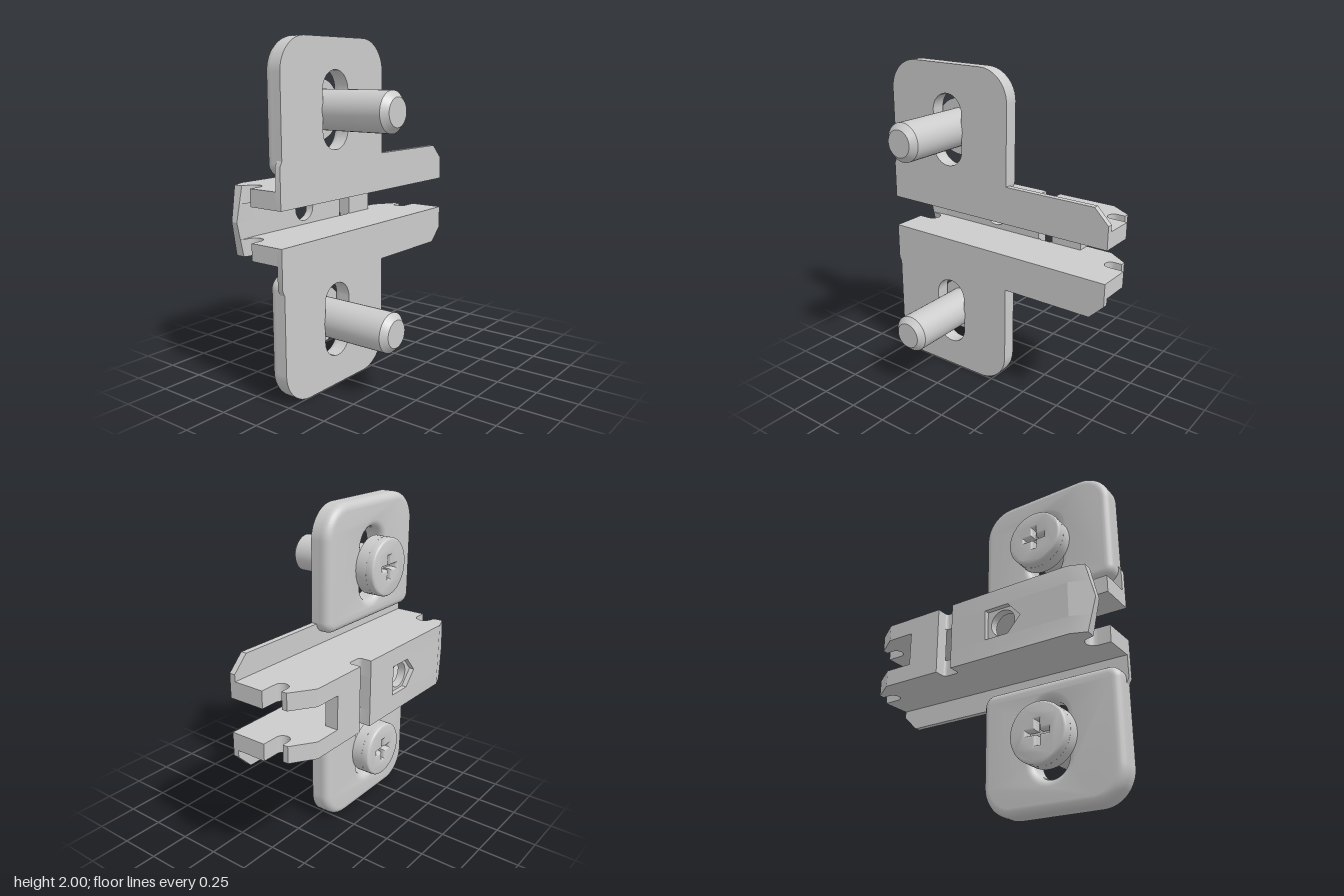
import * as THREE from 'three';
import { toCreasedNormals } from 'three/addons/utils/BufferGeometryUtils.js';

const MID = 1; // height of the mirror plane
const material = new THREE.MeshStandardMaterial({ color: 0xcccccc });

const polygon = (points) => new THREE.Shape(points.map(([a, b]) => new THREE.Vector2(a, b)));

// Extrude a (z, y) shape across x0..x1, optionally with bevelled rims
function extrudeX(shape, x0, x1, bevel = 0) {
  const g = new THREE.ExtrudeGeometry(shape, {
    depth: x1 - x0 - 2 * bevel, curveSegments: 16,
    bevelEnabled: bevel > 0, bevelThickness: bevel, bevelSize: bevel, bevelOffset: -bevel, bevelSegments: 5,
  });
  return g.rotateY(-Math.PI / 2).translate(x1 - bevel, 0, 0);
}

// Extrude an (x, z) shape across y0..y1
function extrudeY(shape, y0, y1) {
  const g = new THREE.ExtrudeGeometry(shape, { depth: y1 - y0, curveSegments: 14, bevelEnabled: false });
  return g.rotateX(Math.PI / 2).translate(0, y1, 0);
}

// Flip about the mid height, restoring the winding
function mirrored(geometry) {
  const g = geometry.clone().translate(0, -MID, 0).scale(1, -1, 1).translate(0, MID, 0);
  for (const attribute of Object.values(g.attributes)) {
    const a = attribute.array, n = attribute.itemSize;
    for (let i = 0; i < a.length; i += 3 * n) {
      for (let k = 0; k < n; k++) [a[i + k], a[i + 2 * n + k]] = [a[i + 2 * n + k], a[i + k]];
    }
  }
  return g;
}

// Front end of the channel: pointed at mid height, outer face sloping inward
function pointNose(geometry) {
  const p = geometry.attributes.position;
  for (let i = 0; i < p.count; i++) {
    if (p.getZ(i) < 0.73 || p.getX(i) > -0.32) continue;
    const z = 0.78 - 0.225 * Math.abs(p.getY(i) - MID);
    p.setZ(i, z);
    if (p.getX(i) < -0.36) p.setX(i, -0.425 + (z - 0.645) * 0.37);
  }
  return geometry;
}

function slotPath(z, y, r, halfLength) {
  const path = new THREE.Path();
  path.absarc(z, y + halfLength - r, r, 0, Math.PI);
  path.absarc(z, y - halfLength + r, r, Math.PI, 2 * Math.PI);
  path.closePath();
  return path;
}

// Screw plate outline in (z, y), large radii at the far end
function plateShape() {
  const s = new THREE.Shape(), z0 = -0.105, z1 = 0.765, y0 = 1.27, y1 = 2, r = 0.19, q = 0.07;
  s.moveTo(z0 + q, y0);
  s.lineTo(z1 - q, y0);
  s.absarc(z1 - q, y0 + q, q, -Math.PI / 2, 0);
  s.absarc(z1 - r, y1 - r, r, 0, Math.PI / 2);
  s.absarc(z0 + r, y1 - r, r, Math.PI / 2, Math.PI);
  s.absarc(z0 + q, y0 + q, q, Math.PI, 1.5 * Math.PI);
  s.holes.push(slotPath(0.33, 1.605, 0.108, 0.22));
  return s;
}

// Channel side outline in (x, z), with round catches at both ends
function webShape() {
  const s = new THREE.Shape();
  s.moveTo(0, -0.78);
  s.lineTo(0, 0.78);
  s.lineTo(-0.225, 0.78);
  s.lineTo(-0.225, 0.71);
  s.absarc(-0.275, 0.71, 0.05, 0, -Math.PI, true);
  s.lineTo(-0.335, 0.745);
  s.lineTo(-0.39, 0.745);
  s.lineTo(-0.425, 0.645);
  s.lineTo(-0.425, -0.115);
  s.lineTo(-0.365, -0.115);
  s.absarc(-0.365, -0.135, 0.02, Math.PI / 2, 0, true);
  s.absarc(-0.365, -0.195, 0.02, 0, -Math.PI / 2, true);
  s.lineTo(-0.425, -0.215);
  s.lineTo(-0.425, -0.59);
  s.lineTo(-0.335, -0.725);
  s.lineTo(-0.302, -0.725);
  s.lineTo(-0.302, -0.68);
  s.absarc(-0.261, -0.68, 0.041, Math.PI, 0, true);
  s.lineTo(-0.22, -0.78);
  return s;
}

// Rectangular wall panel with one opening
function wallPanel(opening) {
  const s = polygon([[-0.115, 0.9], [0.645, 0.9], [0.645, 1.1], [-0.115, 1.1]]);
  s.holes.push(opening);
  return s;
}

export function createModel() {
  const model = new THREE.Group();
  model.name = 'mountingPlate';

  const add = (name, geometry, parent = model) => {
    const flat = geometry.index ? geometry.toNonIndexed() : geometry;
    const mesh = new THREE.Mesh(toCreasedNormals(flat, 0.5), material);
    mesh.name = name;
    parent.add(mesh);
  };

  // Parts of the upper half
  const upper = new THREE.Group();
  upper.name = 'upperHalf';
  model.add(upper);

  // Screw plate: square rim against the mounting face, rounded rim outside
  add('plateBase', extrudeX(plateShape(), -0.07, 0), upper);
  add('plateRoundedFace', extrudeX(plateShape(), -0.12, -0.01, 0.045), upper);

  // Thin flange with a clipped back corner
  add('flange', extrudeX(polygon([
    [-0.78, 1.1], [0.78, 1.1], [0.78, 1.33], [0.765, 1.36], [0.7, 1.36],
    [0.7, 1.33], [-0.69, 1.33], [-0.78, 1.24],
  ]), -0.035, 0), upper);

  // Channel side
  add('channelSide', pointNose(extrudeY(webShape(), 1.1, 1.2)), upper);

  // Pointed front end of the channel wall
  add('channelNose', pointNose(extrudeY(polygon([
    [-0.425, 0.645], [-0.345, 0.645], [-0.335, 0.745], [-0.39, 0.745],
  ]), 1, 1.1)), upper);

  // Screw: shank with tapered tip, head with cross recess
  const shankProfile = [[0, -0.12], [0.115, -0.12], [0.115, 0.385], [0.08, 0.42], [0, 0.42]];
  const shank = new THREE.LatheGeometry(shankProfile.map(([r, h]) => new THREE.Vector2(r, h)), 40);
  add('screwShank', shank.rotateZ(-Math.PI / 2).translate(0, 1.605, 0.33), upper);
  const head = new THREE.CylinderGeometry(0.175, 0.175, 0.07, 40);
  add('screwHeadBase', head.rotateZ(-Math.PI / 2).translate(-0.155, 1.605, 0.33), upper);

  const cap = new THREE.Shape();
  cap.absarc(0.33, 1.605, 0.175, 0, 2 * Math.PI);
  const w = 0.012, l = 0.07;
  const cross = [];
  for (let i = 0; i < 4; i++) {
    const c = Math.round(Math.cos(i * Math.PI / 2)), n = Math.round(Math.sin(i * Math.PI / 2));
    for (const [a, b] of [[w, -w], [l, -w], [l, w]]) {
      cross.push(new THREE.Vector2(0.33 + a * c - b * n, 1.605 + a * n + b * c));
    }
  }
  cap.holes.push(new THREE.Path(cross));
  add('screwHeadCap', extrudeX(cap, -0.24, -0.175, 0.016), upper);

  // Lower half mirrors the upper
  const lower = new THREE.Group();
  lower.name = 'lowerHalf';
  model.add(lower);
  for (const part of upper.children) {
    const mesh = new THREE.Mesh(mirrored(part.geometry), material);
    mesh.name = part.name;
    lower.add(mesh);
  }

  // Channel wall: round hole inside, pointed recess outside
  const round = new THREE.Path();
  round.absarc(0.22, MID, 0.077, 0, 2 * Math.PI);
  add('channelWallInner', extrudeX(wallPanel(round), -0.395, -0.345));
  const recess = polygon([[0.12, 0.91], [0.27, 0.91], [0.35, 1], [0.27, 1.09], [0.12, 1.09]]);
  add('channelWallOuter', extrudeX(wallPanel(recess), -0.425, -0.395));

  // Short wall behind the cross slot
  add('channelWallBack', new THREE.BoxGeometry(0.08, 0.2, 0.205).translate(-0.385, MID, -0.3175));

  return model;
}
